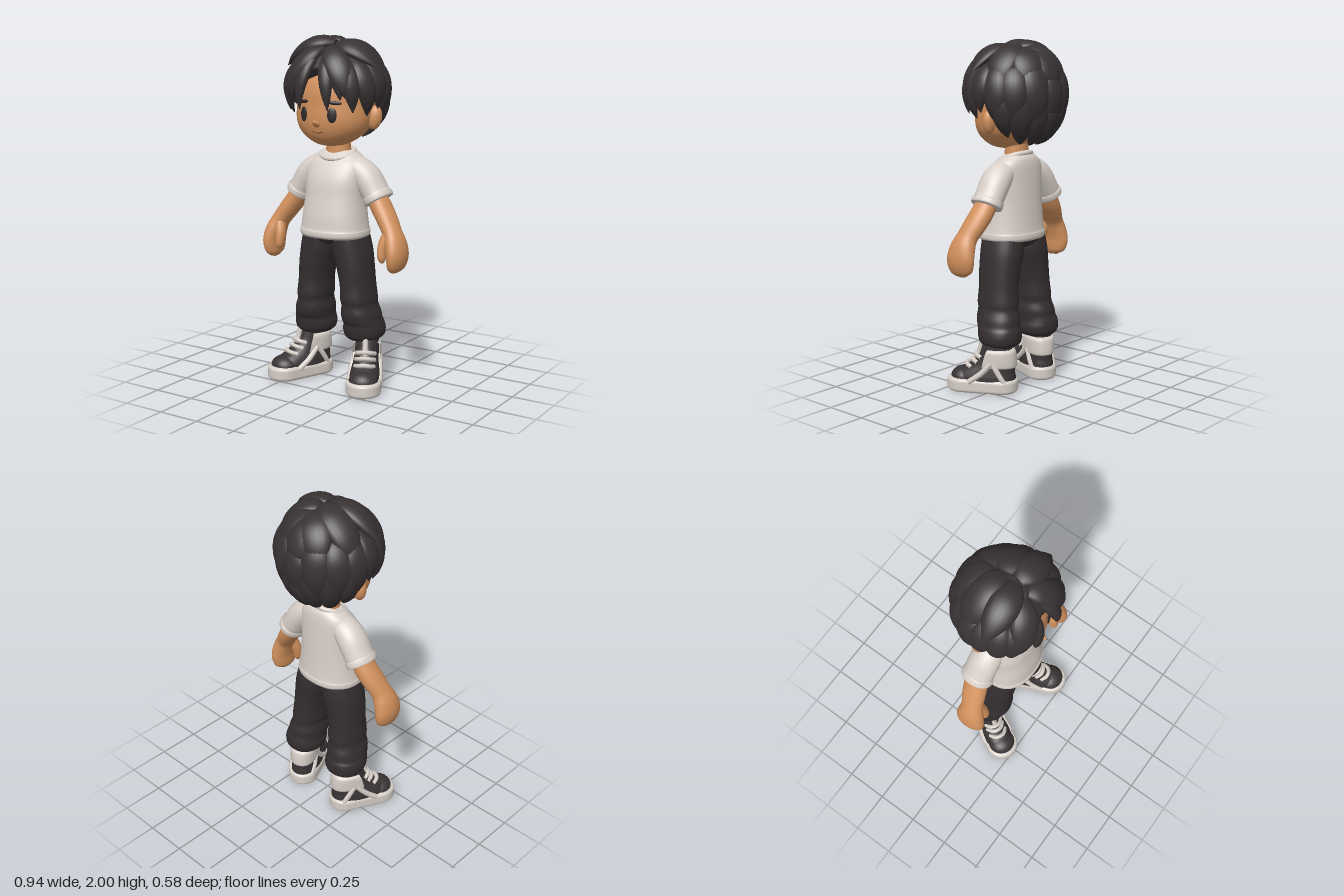
import * as THREE from 'three';

const V = (x, y, z) => new THREE.Vector3(x, y, z);
const mat = (name, color) => Object.assign(new THREE.MeshStandardMaterial({ color }), { name });
const M = {
  hair: mat('hair charcoal', 0x383233), skin: mat('skin tan', 0xd2915d), shirt: mat('shirt white', 0xd9d0c9),
  pants: mat('trouser black', 0x342e2f), shoe: mat('shoe black', 0x393334), trim: mat('shoe white', 0xd6cec7),
  eye: mat('eye dark', 0x2f2929), mouth: mat('mouth brown', 0x8c5535),
};
M.trim.side = THREE.DoubleSide;

function add(parent, name, geo, material) {
  const m = new THREE.Mesh(geo, material);
  m.name = name;
  parent.add(m);
  return m;
}

// Catmull-Rom through the rows of numbers, all columns at once
function spline(rows, t) {
  const last = rows.length - 1, i = Math.min(Math.floor(t), last - 1), f = t - i;
  const r = k => rows[Math.max(0, Math.min(last, k))];
  return rows[0].map((_, c) => {
    const a = r(i - 1)[c], b = r(i)[c], d = r(i + 1)[c], e = r(i + 2)[c];
    return b + 0.5 * f * (d - a + f * (2 * a - 5 * b + 4 * d - e + f * (3 * (b - d) + e - a)));
  });
}

// Skin of cross-sections [x, y, z, radiusU, radiusV]. With no facing the rings stay
// level (U = x, V = z); otherwise they follow the path and V points along facing(p).
function loft(rows, { facing, power = 2, seg = 32, steps = 5, arc } = {}) {
  const pos = [], idx = [], n = (rows.length - 1) * steps, ends = [];
  const a0 = arc ? arc[0] : 0, a1 = arc ? arc[1] : Math.PI * 2, cols = arc ? seg + 1 : seg;
  const at = t => V(...spline(rows, Math.max(0, Math.min(rows.length - 1, t))).slice(0, 3));
  const bend = c => Math.sign(c) * Math.abs(c) ** (2 / power);
  for (let i = 0; i <= n; i++) {
    const t = i / steps, r = spline(rows, t), p = V(r[0], r[1], r[2]);
    const tan = facing ? at(t + 0.1).sub(at(t - 0.1)).normalize() : V(0, 1, 0);
    const u = (facing ? facing(p) : V(0, 0, -1)).cross(tan).normalize(), v = tan.clone().cross(u);
    for (let j = 0; j < cols; j++) {
      const a = a0 + (a1 - a0) * j / seg;
      const q = p.clone().addScaledVector(u, bend(Math.cos(a)) * r[3]).addScaledVector(v, bend(Math.sin(a)) * r[4]);
      pos.push(q.x, q.y, q.z);
    }
    if (i === 0 || i === n) ends.push(p);
  }
  for (let i = 0; i < n; i++) for (let j = 0; j < seg; j++) {
    const k = (j + 1) % cols, a = i * cols + j, b = i * cols + k;
    idx.push(a, b, a + cols, b, b + cols, a + cols);
  }
  // end caps with their own rim, so hems stay crisp
  if (!arc) ends.forEach((p, e) => {
    const base = pos.length / 3, from = e ? n * cols : 0;
    for (let j = 0; j < cols; j++) pos.push(...pos.slice((from + j) * 3, (from + j) * 3 + 3));
    pos.push(p.x, p.y, p.z);
    for (let j = 0; j < cols; j++) {
      const a = base + j, b = base + (j + 1) % cols, c = base + cols;
      if (e) idx.push(a, b, c); else idx.push(b, a, c);
    }
  });
  const g = new THREE.BufferGeometry();
  g.setAttribute('position', new THREE.Float32BufferAttribute(pos, 3));
  g.setIndex(idx);
  g.computeVertexNormals();
  return g;
}

// Level rings given as [y, halfWidth, zFront, zBack]
const body = rows => rows.map(([y, rx, f, b, x = 0]) => [x, y, (f + b) / 2, rx, (f - b) / 2]);
const tube = (pts, r) => new THREE.TubeGeometry(new THREE.CatmullRomCurve3(pts.map(p => V(...p))), 16, r, 8);
function blob(parent, name, material, p, s, ry = 0, rz = 0) {
  const m = add(parent, name, new THREE.SphereGeometry(1, 24, 16), material);
  m.position.set(...p);
  m.scale.set(...s);
  m.rotation.set(0, ry, rz);
}

function makeHead() {
  const g = new THREE.Group();
  g.name = 'head';
  add(g, 'face', loft(body([[1.39, .04, .11, .0], [1.402, .09, .155, -.03], [1.435, .15, .195, -.08], [1.48, .2, .218, -.12],
    [1.54, .225, .23, -.15], [1.62, .23, .227, -.18], [1.72, .225, .22, -.2], [1.82, .18, .17, -.16], [1.88, .08, .08, -.08]]),
    { seg: 48 }), M.skin);
  add(g, 'neck', loft(body([[1.28, .085, .07, -.07], [1.36, .074, .066, -.062], [1.45, .07, .062, -.06]])), M.skin);
  // upturned pointed nose
  add(g, 'nose', loft([[0, 1.522, .215, .028, .022], [0, 1.527, .233, .02, .016], [0, 1.534, .25, .012, .011], [0, 1.539, .26, .003, .003]],
    { facing: () => V(0, 1, 0), seg: 16 }), M.skin);
  add(g, 'mouth', tube([[-.036, 1.481, .214], [0, 1.473, .2185], [.036, 1.481, .214]], .004), M.mouth);
  for (const s of [-1, 1]) {
    blob(g, 'ear', M.skin, [s * .237, 1.553, 0], [.042, .068, .034], s * .3, s * -.15);
    blob(g, 'eye', M.eye, [s * .092, 1.573, .211], [.027, .042, .009], s * .37);
    blob(g, 'eyebrow', M.eye, [s * .1, 1.642, .205], [.045, .011, .009], s * .4, s * -.1);
  }
  return g;
}

const C = V(0, 1.70, 0), rad = Math.PI / 180;
const dir = (a, th) => V(Math.sin(th * rad) * Math.sin(a * rad), Math.cos(th * rad), Math.sin(th * rad) * Math.cos(a * rad));
// scalp surface: narrower towards the back and the crown, longer towards the nape
const onScalp = (d, k = 1) => V(d.x * (.262 + .02 * d.z) * (1 - .06 * Math.max(0, d.y)) * k,
  d.y * (d.y > 0 ? .265 : .31) * k, d.z * (d.z > 0 ? .255 : .245) * k).add(C);

// One pointed lock over the scalp, from one direction to another; flare lifts the tip
function lock(from, to, w, t, flare = .04) {
  const shape = [.4, .82, 1, .9, .56, .05];
  const rows = shape.map((f, i) => {
    const s = i / 5, p = onScalp(from.clone().lerp(to, s).normalize(), 1 + .03 * Math.sin(Math.PI * s) + flare * s * s);
    return [p.x, p.y, p.z, w * f, t * f];
  });
  return loft(rows, { facing: p => p.clone().sub(C).normalize(), seg: 18 });
}

function makeHair() {
  const g = new THREE.Group();
  g.name = 'hair';
  // cap: low at the nape, high at the forehead, closed inside the head
  const cap = new THREE.SphereGeometry(1, 48, 24), P = cap.attributes.position;
  for (let i = 0; i < P.count; i++) {
    const d = V().fromBufferAttribute(P, i), a = Math.atan2(d.x, d.z) / rad, th = Math.acos(Math.max(-1, Math.min(1, d.y)));
    const A = Math.abs(a), edge = A < 90 ? 62 + A / 90 * 36 : 98 + (A - 90) / 90 * 44;
    const p = th > 3.13 ? V(0, 1.6, -.02) : onScalp(dir(a, th / Math.PI * 24 / 23 * edge));
    P.setXYZ(i, p.x, p.y, p.z);
  }
  cap.computeVertexNormals();
  add(g, 'hairCap', cap, M.hair);
  // [start azimuth, start polar, tip azimuth, tip polar, width, thickness, flare]
  const pairs = [
    [170, 6, 104, 84, .09, .045, .05], [10, 12, 76, 67, .085, .045, .27], [175, 20, 142, 84, .09, .044, .07],
    [10, 28, 40, 97, .075, .04, .11], [12, 40, 18, 107, .042, .03, .1], [26, 50, 32, 97, .045, .03, .08],
    [40, 50, 47, 109, .055, .034, .08], [58, 50, 66, 114, .065, .038], [80, 50, 84, 106, .07, .04, .08],
    [100, 50, 105, 122, .075, .042], [125, 50, 126, 122, .08, .042, .07], [150, 45, 154, 126, .08, .042, .07],
    [110, 80, 113, 136, .06, .036], [134, 80, 136, 148, .065, .038], [160, 85, 162, 152, .06, .036],
  ];
  for (const s of [-1, 1]) for (const [a0, t0, a1, t1, w, t, flare] of pairs) {
    const from = dir(s * a0, t0), top = t0 < 25;
    if (top) from.x += .1; // parting sits off centre
    add(g, 'hairLock', lock(from, dir(s * a1 + (t1 > 110 ? 3 : 0), t1), w, top && s > 0 ? t * .85 : t, flare), M.hair);
  }
  for (const [t0, t1, w] of [[25, 92, .085], [60, 128, .075], [90, 150, .06]])
    add(g, 'backLock', lock(dir(180, t0), dir(184, t1), w, .042), M.hair);
  return g;
}

function makeShirt() {
  const g = new THREE.Group();
  g.name = 'shirt';
  add(g, 'shirtBody', loft(body([[.872, .193, .195, -.122], [.885, .203, .206, -.131], [.91, .203, .206, -.131], [.925, .198, .2, -.126],
    [1.0, .188, .193, -.12], [1.1, .178, .175, -.115], [1.2, .18, .157, -.11], [1.28, .175, .12, -.105],
    [1.32, .15, .088, -.1], [1.345, .118, .068, -.092], [1.36, .095, .05, -.08]]), { power: 2.3, seg: 48 }), M.shirt);
  const collar = add(g, 'collar', new THREE.TorusGeometry(.096, .014, 12, 40), M.shirt);
  collar.position.set(0, 1.343, .01);
  collar.rotation.x = Math.PI / 2 + .32;
  collar.scale.set(1, .93, 1);
  for (const s of [-1, 1]) add(g, 'sleeve', loft([[.09, 1.285, 0, .05, .07], [.135, 1.26, 0, .072, .083], [.19, 1.21, -.003, .08, .09],
    [.235, 1.145, -.005, .077, .09], [.25, 1.122, -.005, .077, .09], [.253, 1.117, -.005, .083, .096],
    [.267, 1.093, -.005, .083, .096], [.27, 1.088, -.005, .073, .086]].map(r => [s * r[0], ...r.slice(1)]),
    { facing: () => V(0, 0, 1) }), M.shirt);
  return g;
}

function makeArm(s) {
  const g = new THREE.Group(), side = r => [s * r[0], ...r.slice(1)];
  g.name = s > 0 ? 'leftArm' : 'rightArm';
  add(g, 'armAndHand', loft([[.21, 1.18, -.005, .05, .06], [.285, 1.06, .005, .057, .07], [.335, .99, .02, .055, .07],
    [.378, .925, .038, .051, .066], [.405, .87, .047, .054, .08], [.42, .81, .052, .052, .091], [.418, .76, .053, .046, .086],
    [.41, .725, .052, .034, .068], [.405, .703, .05, .01, .025]].map(side), { facing: () => V(0, 0, 1) }), M.skin);
  add(g, 'thumb', loft([[.375, .93, .06, .034, .036], [.353, .865, .086, .031, .032], [.347, .815, .098, .026, .029],
    [.35, .78, .102, .022, .024], [.352, .758, .103, .008, .009]].map(side), { facing: () => V(0, 0, 1), seg: 18 }), M.skin);
  return g;
}

function makeTrousers() {
  const g = new THREE.Group();
  g.name = 'trousers';
  add(g, 'hips', loft(body([[.815, .02, .06, -.03], [.83, .07, .115, -.08], [.85, .14, .14, -.1], [.875, .19, .15, -.11], [.92, .185, .15, -.1]]),
    { power: 2.4 }), M.pants);
  for (const s of [-1, 1]) add(g, 'trouserLeg', loft(body([[.272, .085, .08, -.115, .163], [.292, .11, .1, -.135, .167], [.328, .118, .11, -.142, .167],
    [.365, .112, .115, -.138, .167], [.39, .108, .128, -.13, .162], [.43, .106, .137, -.126, .157], [.48, .094, .135, -.112, .152],
    [.52, .097, .142, -.112, .148], [.6, .094, .138, -.105, .142], [.7, .1, .145, -.105, .128], [.8, .107, .15, -.11, .108],
    [.89, .097, .15, -.1, .097]]).map(r => [s * r[0], ...r.slice(1)]), { power: 2.2 }), M.pants);
  return g;
}

function makeShoe(s) {
  const g = new THREE.Group();
  g.name = s > 0 ? 'leftShoe' : 'rightShoe';
  const outline = new THREE.Shape();
  outline.absarc(0, .14, .08, 0, Math.PI);
  outline.absarc(0, -.088, .07, Math.PI, Math.PI * 2);
  const sole = new THREE.ExtrudeGeometry(outline, { depth: .04, bevelSize: .02, bevelThickness: .02, bevelSegments: 5, curveSegments: 24 });
  add(g, 'sole', sole.rotateX(Math.PI / 2).translate(0, .06, 0), M.trim);
  add(g, 'upper', loft(body([[.05, .09, .215, -.165], [.09, .088, .205, -.165], [.12, .082, .17, -.16], [.16, .073, .1, -.16],
    [.21, .068, .05, -.15], [.26, .067, .03, -.14], [.305, .063, .02, -.13]]), { power: 2.4 }), M.shoe);
  blob(g, 'toeBox', M.shoe, [0, .076, .138], [.084, .06, .08]);
  // padded heel collar wrapping the back
  add(g, 'heelCollar', loft(body([[.15, .07, .1, -.16], [.157, .081, .1, -.172], [.21, .083, .08, -.17], [.245, .08, .06, -.163],
    [.257, .066, .04, -.145]]), { power: 2.4, arc: [-.3, Math.PI + .3] }), M.trim);
  add(g, 'tongue', tube([[0, .2, .058], [0, .25, .042], [0, .3, .03]], .016), M.trim);
  for (const [y, z] of [[.155, .115], [.185, .079], [.215, .057]])
    add(g, 'lace', tube([[-.054, y - .012, z - .035], [-.03, y, z - .002], [0, y + .006, z + .007], [.03, y, z - .002], [.054, y - .012, z - .035]], .013), M.trim);
  for (const k of [-1, 1]) {
    add(g, 'sideStripe', tube([[k * .088, .065, .09], [k * .082, .115, .02], [k * .073, .18, -.04]], .017), M.trim);
    add(g, 'sideStripe', tube([[k * .072, .175, -.05], [k * .073, .11, -.09], [k * .067, .06, -.12]], .016), M.trim);
  }
  g.position.set(s * .213, 0, .04);
  g.rotation.y = s * .44;
  return g;
}

export function createModel() {
  const model = new THREE.Group();
  model.name = 'boy';
  model.add(makeHead(), makeHair(), makeShirt(), makeTrousers());
  for (const s of [-1, 1]) model.add(makeArm(s), makeShoe(s));
  return model;
}
